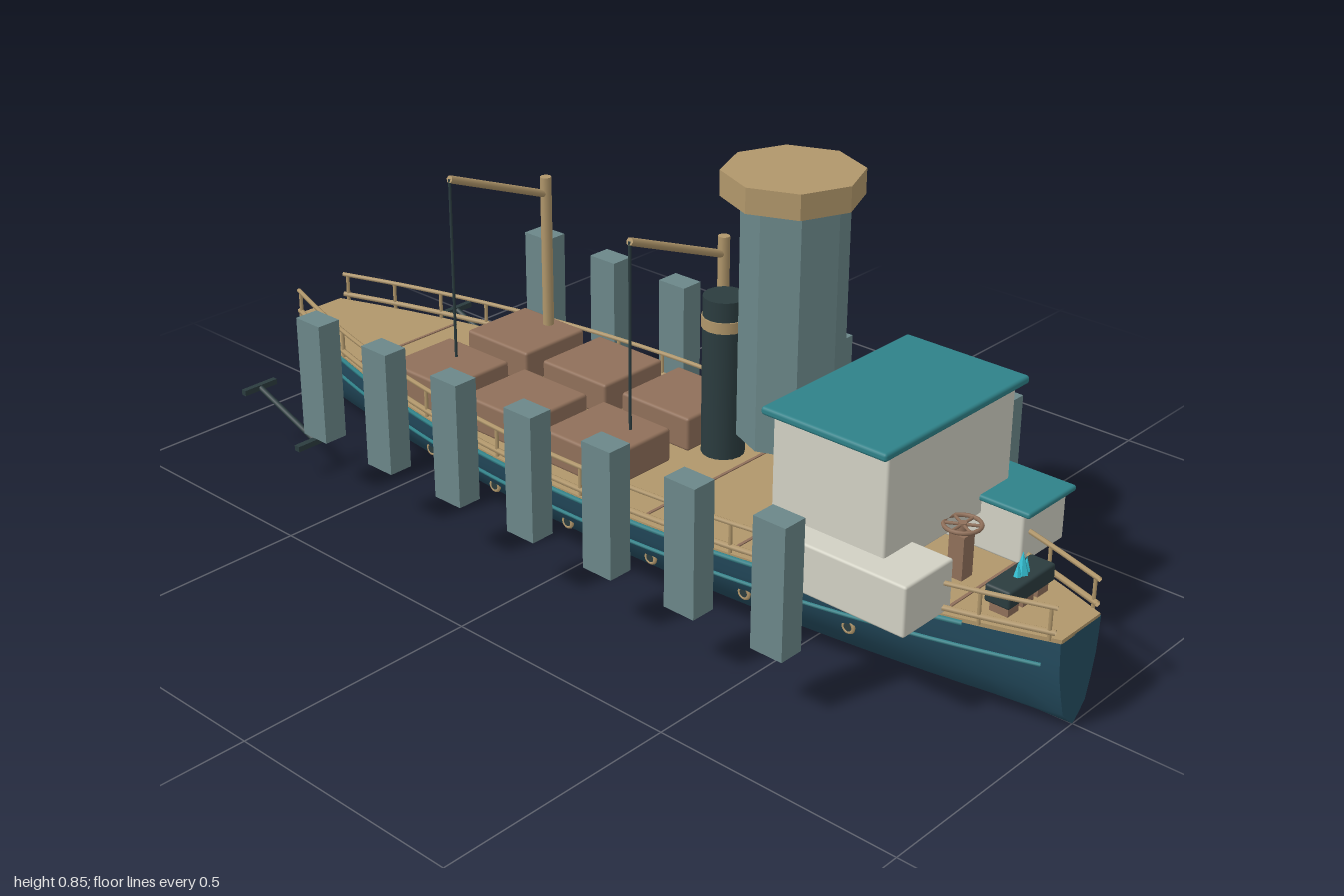
import * as THREE from 'three';
import { RoundedBoxGeometry } from 'three/addons/geometries/RoundedBoxGeometry.js';

export function createModel() {
  const ship = new THREE.Group();
  ship.name = 'cargoShip';
  const mat = (name, color, extra = {}) => Object.assign(new THREE.MeshStandardMaterial({ color, ...extra }), { name });
  const hullBlue = mat('hullBlue', 0x264f63, { side: THREE.DoubleSide });
  const teal = mat('teal', 0x2f8289);
  const tan = mat('tan', 0xb1976b, { side: THREE.DoubleSide });
  const brown = mat('brown', 0x90705a);
  const white = mat('paleGrey', 0xd2d1c4);
  const slate = mat('slate', 0x6b8789, { flatShading: true });
  const capTan = mat('capTan', 0xb1976b, { flatShading: true });
  const iron = mat('iron', 0x2b3c3f);
  const cyan = mat('crystalCyan', 0x35c3d6, { flatShading: true });

  const add = (name, geo, material, x = 0, y = 0, z = 0) => {
    const m = new THREE.Mesh(geo, material);
    m.name = name;
    m.position.set(x, y, z);
    ship.add(m);
    return m;
  };
  const box = (name, material, x0, x1, y0, y1, z0, z1, r = 0) => {
    const s = [x1 - x0, y1 - y0, z1 - z0];
    const g = r ? new RoundedBoxGeometry(...s, 2, r) : new THREE.BoxGeometry(...s);
    return add(name, g, material, (x0 + x1) / 2, (y0 + y1) / 2, (z0 + z1) / 2);
  };
  const rod = (name, material, a, b, r, sides = 8) => {
    const A = new THREE.Vector3(...a), B = new THREE.Vector3(...b), d = B.clone().sub(A);
    const m = add(name, new THREE.CylinderGeometry(r, r, d.length(), sides), material);
    m.position.copy(A).add(B).multiplyScalar(0.5);
    m.quaternion.setFromUnitVectors(new THREE.Vector3(0, 1, 0), d.normalize());
    return m;
  };

  // Hull: one section, scaled along its length by the plan curve
  const halfWidth = z => 0.062 + 0.188 * (1 - z * z);
  const half = [[1, 0.19], [0.965, 0.155], [0.91, 0.12], [0.76, 0.08], [0.56, 0.036], [0.28, 0.017], [0, 0.002]];
  const section = [...half, ...half.slice(0, -1).reverse().map(([x, y]) => [-x, y])];
  const n = section.length, steps = 32, pos = [], idx = [];
  for (let i = 0; i <= steps; i++) {
    const z = -1 + (2 * i) / steps;
    for (const [x, y] of section) pos.push(x * halfWidth(z), y, z);
    if (i < steps) for (let j = 0; j < n - 1; j++) {
      const a = i * n + j, b = a + n;
      idx.push(a, a + 1, b, b, a + 1, b + 1);
    }
  }
  const hullGeo = new THREE.BufferGeometry();
  hullGeo.setAttribute('position', new THREE.Float32BufferAttribute(pos, 3));
  hullGeo.setIndex(idx);
  hullGeo.computeVertexNormals();
  add('hull', hullGeo, hullBlue);
  const endShape = new THREE.Shape(section.map(([x, y]) => new THREE.Vector2(x * halfWidth(1), y)));
  for (const z of [-1, 1]) add('hullEnd', new THREE.ShapeGeometry(endShape), hullBlue, 0, 0, z);

  // Deck follows the plan curve
  const plan = [];
  for (let i = 0; i <= 24; i++) plan.push(new THREE.Vector2(halfWidth(-1 + i / 12) - 0.003, -1 + i / 12));
  const outline = [...plan, ...plan.slice().reverse().map(p => new THREE.Vector2(-p.x, p.y))];
  const deckGeo = new THREE.ExtrudeGeometry(new THREE.Shape(outline), { depth: 0.008, bevelEnabled: false });
  deckGeo.rotateX(Math.PI / 2);
  add('deck', deckGeo, tan, 0, 0.196, 0);
  for (const z of [-0.7, -0.5, -0.3, -0.1, 0.2, 0.4, 0.8]) {
    const w = halfWidth(z) - 0.02;
    box('deckSeam', brown, -w, w, 0.195, 0.198, z - 0.003, z + 0.003);
  }

  // Trim, rails, posts and portholes on both sides
  const sideTube = (name, material, side, scale, y, r, end) => {
    const pts = [];
    for (let i = 0; i <= 16; i++) {
      const z = -end + (2 * end * i) / 16;
      pts.push(new THREE.Vector3(side * halfWidth(z) * scale, y, z));
    }
    add(name, new THREE.TubeGeometry(new THREE.CatmullRomCurve3(pts), 40, r, 6), material);
  };
  for (const s of [-1, 1]) {
    sideTube('gunwale', teal, s, 1, 0.189, 0.005, 0.84);
    sideTube('hullStripe', teal, s, 0.95, 0.14, 0.004, 0.97);
    sideTube('lowerRail', tan, s, 0.97, 0.208, 0.006, 0.99);
    sideTube('upperRail', tan, s, 0.97, 0.256, 0.005, 0.99);
    for (let i = 0; i < 18; i++) {
      const z = -0.98 + (i * 1.96) / 17, x = s * halfWidth(z) * 0.97;
      rod('railPost', tan, [x, 0.192, z], [x, 0.256, z], 0.004, 6);
    }
    for (let i = 0; i < 8; i++) {
      const z = 0.63 - i * 0.209, x = s * halfWidth(z) * 0.885;
      const ring = add('portholeRing', new THREE.TorusGeometry(0.011, 0.004, 6, 14), tan, x, 0.111, z);
      ring.rotation.y = Math.PI / 2;
      rod('portholeGlass', iron, [x - 0.003, 0.111, z], [x + 0.003, 0.111, z], 0.01, 12);
    }
    // Mooring piles
    for (let i = 0; i < 7; i++) {
      const z = 0.6 - i * 0.2;
      box('pile', slate, s * 0.32 - 0.026, s * 0.32 + 0.026, 0.127, 0.386, z - 0.035, z + 0.035);
    }
    // Anchors
    const ax = s * 0.284;
    rod('anchorShank', iron, [ax, 0.07, -0.68], [ax, 0.138, -0.86], 0.006);
    box('anchorStock', iron, ax - 0.042, ax + 0.042, 0.132, 0.144, -0.867, -0.855);
    box('anchorFluke', iron, ax - 0.05, ax + 0.05, 0.065, 0.077, -0.687, -0.673);
  }

  // Cargo crates
  for (const z of [-0.448, -0.223, 0])
    for (const x of [-0.11, 0.11])
      box('crate', brown, x - 0.085, x + 0.085, 0.197, 0.268, z - 0.089, z + 0.089, 0.006);

  // Cargo cranes
  for (const z of [0.053, -0.435]) {
    rod('mast', tan, [0.165, 0.196, z], [0.165, 0.6, z], 0.012, 10);
    rod('boom', tan, [0.165, 0.562, z], [-0.1, 0.665, z], 0.008);
    rod('cable', iron, [-0.1, 0.665, z], [-0.1, 0.28, z], 0.003, 6);
  }

  // Tower with cap, and funnel with band
  add('tower', new THREE.CylinderGeometry(0.098, 0.098, 0.47, 8), slate, 0, 0.575, 0.36);
  add('towerCap', new THREE.CylinderGeometry(0.129, 0.129, 0.048, 8), capTan, 0, 0.829, 0.352);
  add('funnel', new THREE.CylinderGeometry(0.042, 0.042, 0.32, 16), iron, 0, 0.41, 0.2);
  add('funnelBand', new THREE.CylinderGeometry(0.0445, 0.0445, 0.022, 16), tan, 0, 0.52, 0.2);

  // Wheelhouse and side cabins
  box('wheelhouse', white, -0.185, 0.185, 0.267, 0.488, 0.472, 0.72, 0.005);
  box('wheelhouseRoof', teal, -0.21, 0.21, 0.489, 0.505, 0.463, 0.732, 0.006);
  for (const x of [-0.12, 0.12]) box('window', iron, x - 0.03, x + 0.03, 0.38, 0.445, 0.465, 0.473);
  box('rightCabin', white, -0.237, -0.102, 0.196, 0.295, 0.512, 0.805, 0.005);
  box('leftCabin', white, 0.1, 0.236, 0.196, 0.297, 0.515, 0.81, 0.005);
  box('leftCabinRoof', teal, 0.093, 0.244, 0.295, 0.307, 0.49, 0.825, 0.005);

  // Steering wheel on its pedestal
  box('wheelPedestal', brown, -0.016, 0.016, 0.196, 0.282, 0.734, 0.766);
  rod('wheelHub', brown, [0, 0.28, 0.75], [0, 0.302, 0.75], 0.008);
  const wheel = add('wheelRim', new THREE.TorusGeometry(0.034, 0.004, 6, 20), brown, 0, 0.298, 0.75);
  wheel.rotation.x = Math.PI / 2;
  for (let i = 0; i < 3; i++) {
    const c = 0.034 * Math.cos((i * Math.PI) / 3), d = 0.034 * Math.sin((i * Math.PI) / 3);
    rod('wheelSpoke', brown, [-c, 0.298, 0.75 - d], [c, 0.298, 0.75 + d], 0.003, 6);
  }

  // Bow chest with crystals
  box('bowChest', iron, -0.07, 0.07, 0.215, 0.25, 0.848, 0.9, 0.005);
  for (const x of [-0.045, 0, 0.045]) box('chestFoot', brown, x - 0.016, x + 0.016, 0.196, 0.216, 0.855, 0.893);
  for (const [x, h, r] of [[0, 0.045, 0.013], [-0.013, 0.03, 0.008], [0.013, 0.03, 0.008]])
    add('crystal', new THREE.ConeGeometry(r, h, 6), cyan, x, 0.248 + h / 2, 0.876);

  return ship;
}
